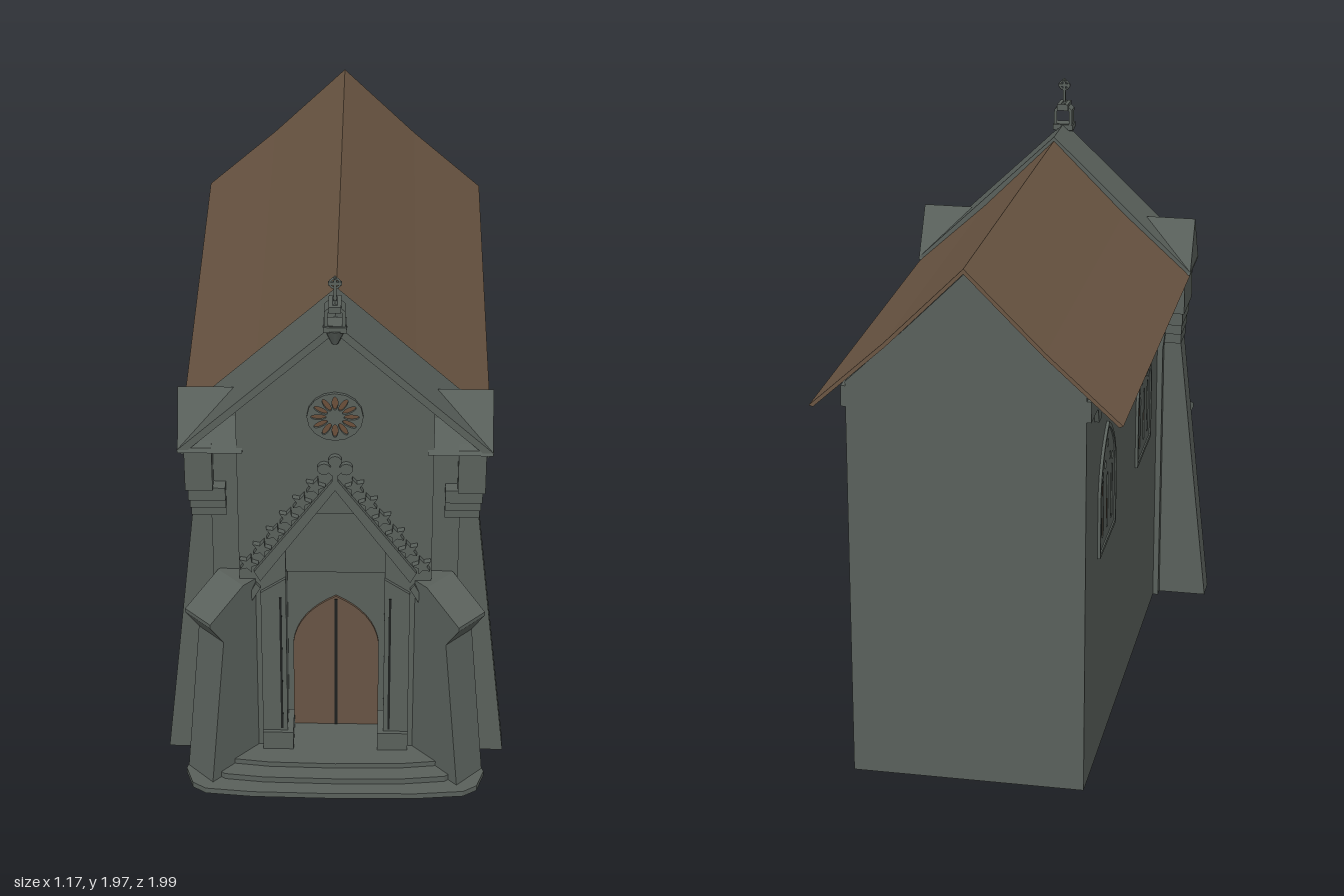
import * as THREE from 'three';

const flat = (name, color) => {
  const m = new THREE.MeshStandardMaterial({ color });
  m.name = name;
  return m;
};

export function createModel() {
  const stone = flat('stone', 0x59605b);
  const tile = flat('roofTile', 0x6b5643);
  const wood = flat('doorWood', 0x675444);
  const glass = flat('amberGlass', 0x6b4f3a);
  const dark = flat('darkGap', 0x1d201f);
  const model = new THREE.Group();
  model.name = 'chapel';

  // ---- helpers ----
  const poly = (pts) => new THREE.Shape(pts.map(([x, y]) => new THREE.Vector2(x, y)));
  const add = (name, geo, mat, parent = model) => {
    const mesh = new THREE.Mesh(geo, mat);
    mesh.name = name;
    parent.add(mesh);
    return mesh;
  };
  // shape in x-y, extruded from z0 to z1
  const slab = (name, shape, z0, z1, mat = stone, parent = model) => {
    const s = Array.isArray(shape) ? poly(shape) : shape;
    const geo = new THREE.ExtrudeGeometry(s, { depth: z1 - z0, bevelEnabled: false, curveSegments: 8 });
    return add(name, geo.translate(0, 0, z0), mat, parent);
  };
  const box = (name, x0, x1, y0, y1, z0, z1, mat = stone, parent = model) =>
    add(name, new THREE.BoxGeometry(Math.abs(x1 - x0), y1 - y0, z1 - z0)
      .translate((x0 + x1) / 2, (y0 + y1) / 2, (z0 + z1) / 2), mat, parent);
  const mirrored = (pts) => [...pts, ...pts.filter((p) => p[0] !== 0).reverse().map(([x, y]) => [-x, y])];
  // pointed arch outline
  const lancet = (Type, cx, w, y0, ys, y1) => {
    const p = new Type();
    p.moveTo(cx - w, y0);
    p.lineTo(cx + w, y0);
    p.lineTo(cx + w, ys);
    p.quadraticCurveTo(cx + w * 0.9, ys + (y1 - ys) * 0.65, cx, y1);
    p.quadraticCurveTo(cx - w * 0.9, ys + (y1 - ys) * 0.65, cx - w, ys);
    p.closePath();
    return p;
  };
  const leaf = (cx, cy, r, turn, n = 5) => poly(Array.from({ length: n * 2 }, (_, i) => {
    const a = turn + (i * Math.PI) / n, k = i % 2 ? r * 0.45 : r;
    return [cx + Math.cos(a) * k, cy + Math.sin(a) * k];
  }));

  // ---- nave and roof ----
  slab('nave', mirrored([[0, 1.765], [0.2, 1.565], [0.39, 1.385], [0.39, 0]]), -0.985, 0.63);
  slab('roof', mirrored([[0, 1.785], [0.26, 1.525], [0.508, 1.3], [0.495, 1.295], [0.255, 1.512], [0, 1.768]]), -0.995, 0.58, tile);

  // ---- long sides: frieze and windows ----
  for (const s of [1, -1]) {
    const side = new THREE.Group();
    side.name = s > 0 ? 'leftSide' : 'rightSide';
    side.rotation.y = (s * Math.PI) / 2;
    model.add(side);
    const u = (z) => -z * s;

    const edge = [[u(0.575), 1.37], [u(0.575), 1.3]];
    for (let i = 0; i < 9; i++) {
      const z = 0.48 - i * 0.161;
      for (const [dz, y] of [[0.048, 1.3], [0.022, 1.245], [-0.022, 1.245], [-0.048, 1.3]]) edge.push([u(z + dz), y]);
    }
    edge.push([u(-0.985), 1.3], [u(-0.985), 1.37]);
    slab('scallopedFrieze', edge, 0.385, 0.405, stone, side);

    for (const zc of [0.235, -0.585]) {
      const c = u(zc);
      const frame = lancet(THREE.Shape, c, 0.163, 0.732, 0.95, 1.157);
      frame.holes.push(lancet(THREE.Path, c, 0.15, 0.745, 0.95, 1.14));
      slab('windowFrame', frame, 0.385, 0.4, stone, side);
      // tracery with three lights and small openings in the head
      const tracery = lancet(THREE.Shape, c, 0.15, 0.745, 0.95, 1.14);
      for (const k of [-1, 0, 1]) {
        tracery.holes.push(lancet(THREE.Path, c + k * 0.09, 0.012, 0.78, 0.95, 0.98));
        slab('windowLight', lancet(THREE.Shape, c + k * 0.09, 0.012, 0.78, 0.95, 0.98), 0.386, 0.392, k < 1 ? glass : stone, side);
      }
      for (const [dx, y] of [[-0.045, 1.02], [0.045, 1.02], [0, 1.08], [-0.1, 1.0], [0.1, 1.0]]) {
        tracery.holes.push(new THREE.Path().absarc(c + dx, y, 0.014, 0, Math.PI * 2));
      }
      slab('windowTracery', tracery, 0.386, 0.395, stone, side);
    }

    // ---- corner turret: cross gable, body, stepped corbels ----
    const m = u(0.685);
    slab('turretRoof', [[m - 0.115, 1.305], [m + 0.115, 1.305], [m, 1.487]], 0.3, 0.51, stone, side);
    slab('turretBody', [[m - 0.107, 1.15], [m + 0.107, 1.15], [m + 0.107, 1.32], [m, 1.47], [m - 0.107, 1.32]], 0.4, 0.49, stone, side);
    [[1.1, 1.15, 0.092, 0.482], [1.06, 1.1, 0.077, 0.478], [1.02, 1.06, 0.062, 0.475]].forEach(([y0, y1, h, x]) =>
      box('turretCorbel', m - h, m + h, y0, y1, 0.36, x, stone, side));
  }

  // ---- west front wall, with portal opening ----
  const opening = () => new THREE.Path([[0.165, 0.02], [0.165, 0.91], [0, 1.16], [-0.165, 0.91], [-0.165, 0.02]]
    .map(([x, y]) => new THREE.Vector2(x, y)));
  const panel = poly(mirrored([[0, 1.78], [0.32, 1.465], [0.32, 0]]));
  panel.holes.push(opening());
  slab('frontPanel', panel, 0.6, 0.79);
  const back = poly(mirrored([[0, 1.77], [0.45, 1.34], [0.41, 1.0], [0.41, 0]]));
  back.holes.push(opening());
  slab('frontWall', back, 0.6, 0.735);
  slab('gableCoping', mirrored([[0, 1.8], [0.512, 1.312], [0.495, 1.295], [0, 1.765]]), 0.575, 0.795);

  // ---- portal ----
  box('doorWall', -0.17, 0.17, 0.02, 0.82, 0.62, 0.67);
  slab('tympanum', mirrored([[0, 1.165], [0.168, 0.91], [0.168, 0.79]]), 0.62, 0.75);
  slab('tympanumTriangle', mirrored([[0, 1.15], [0.072, 1.04]]), 0.75, 0.76);
  slab('door', lancet(THREE.Shape, 0, 0.147, 0.065, 0.43, 0.632), 0.67, 0.678, wood);
  box('doorGap', -0.005, 0.005, 0.065, 0.62, 0.677, 0.681, dark);
  slab('portalGable', mirrored([[0, 1.215], [0.27, 0.83], [0.25, 0.79], [0, 1.165]]), 0.785, 0.805);
  for (const s of [1, -1]) {
    slab('portalPilaster', [[s * 0.165, 0.1], [s * 0.25, 0.1], [s * 0.25, 0.74], [s * 0.165, 0.8]], 0.78, 0.802);
    box('pilasterBase', s * 0.145, s * 0.25, 0.05, 0.14, 0.69, 0.815);
    box('shaftGap', s * 0.18, s * 0.188, 0.15, 0.72, 0.8, 0.804, dark);
    slab('portalShoulder', [[s * 0.25, 0.76], [s * 0.335, 0.6], [s * 0.335, 0.64], [s * 0.265, 0.78]], 0.785, 0.803);
    for (let i = 0; i < 6; i++) {
      const t = 0.14 + i * 0.165;
      slab('crocket', leaf(s * (0.27 * t + 0.028), 1.215 - 0.385 * t + 0.02, 0.034, s > 0 ? 0.6 : Math.PI - 0.6), 0.785, 0.81);
    }
  }
  // portal finial
  box('finialStem', -0.01, 0.01, 1.18, 1.28, 0.785, 0.805);
  for (const [x, y] of [[0, 1.28], [-0.036, 1.25], [0.036, 1.25], [0, 1.245]]) {
    add('finialLobe', new THREE.CylinderGeometry(0.022, 0.022, 0.02, 10).rotateX(Math.PI / 2).translate(x, y, 0.796), stone);
  }

  // ---- rose window ----
  const disc = (r) => new THREE.CylinderGeometry(r, r, 0.006, 32).rotateX(Math.PI / 2);
  add('roseGlass', disc(0.084).translate(0, 1.45, 0.79), glass);
  const rose = new THREE.Shape().absarc(0, 1.45, 0.091, 0, Math.PI * 2);
  for (let i = 0; i < 12; i++) {
    const a = (i * Math.PI) / 6;
    rose.holes.push(new THREE.Path().absellipse(Math.cos(a) * 0.053, 1.45 + Math.sin(a) * 0.053, 0.025, 0.0095, 0, Math.PI * 2, false, a));
  }
  slab('roseTracery', rose, 0.79, 0.8);

  // ---- buttresses ----
  for (const s of [1, -1]) {
    slab('sideButtress', [[s * 0.34, 0], [s * 0.585, 0], [s * 0.472, 1.03], [s * 0.34, 1.03]], 0.635, 0.73);
    const diagonal = slab('diagonalButtress',
      [[-0.12, 0], [0.164, 0], [0.093, 0.6], [0.15, 0.69], [0.15, 0.705], [0, 0.79], [-0.12, 0.79]], -0.0625, 0.0625);
    diagonal.position.set(s * 0.35, 0, 0.785);
    diagonal.rotation.y = s > 0 ? -Math.PI / 4 : (-3 * Math.PI) / 4;
  }

  // ---- entrance steps ----
  const step = (y0, y1, w, zSide, zFront) => {
    const outline = mirrored([[0, -zFront], [w * 0.55, -zFront + 0.005], [w * 0.86, -zFront + 0.02],
      [w * 0.95, -zFront + 0.05], [w, -zSide], [w * 0.84, -0.64]]);
    const mesh = slab('entranceStep', outline, y0, y1);
    mesh.rotation.x = -Math.PI / 2;
    // shape y becomes -z, so the outline faces the front
    return mesh;
  };
  step(0, 0.022, 0.515, 0.87, 0.995);
  step(0.02, 0.045, 0.44, 0.85, 0.945);
  step(0.04, 0.065, 0.41, 0.82, 0.89);

  // ---- lantern and cross on the gable ----
  const top = new THREE.Group();
  top.name = 'gableFinial';
  top.position.z = 0.787;
  model.add(top);
  add('finialCorbel', new THREE.CylinderGeometry(0.04, 0.012, 0.06, 8).translate(0, 1.755, 0), stone, top);
  box('finialPedestal', -0.037, 0.037, 1.78, 1.8, -0.032, 0.032, stone, top);
  const arch = poly(mirrored([[0, 1.885], [0.033, 1.855], [0.033, 1.8]]));
  arch.holes.push(new THREE.Path(mirrored([[0, 1.868], [0.022, 1.85], [0.022, 1.802]]).map(([x, y]) => new THREE.Vector2(x, y))));
  slab('lantern', arch, -0.026, 0.026, stone, top);
  box('lanternCap', -0.02, 0.02, 1.855, 1.878, -0.037, 0.037, stone, top);
  box('crossPost', -0.005, 0.005, 1.875, 1.965, -0.005, 0.005, stone, top);
  box('crossArm', -0.022, 0.022, 1.938, 1.948, -0.005, 0.005, stone, top);
  add('crossRing', new THREE.TorusGeometry(0.017, 0.004, 6, 12).translate(0, 1.943, 0), stone, top);
  add('crossTip', new THREE.OctahedronGeometry(0.009).translate(0, 1.962, 0), stone, top);

  return model;
}
